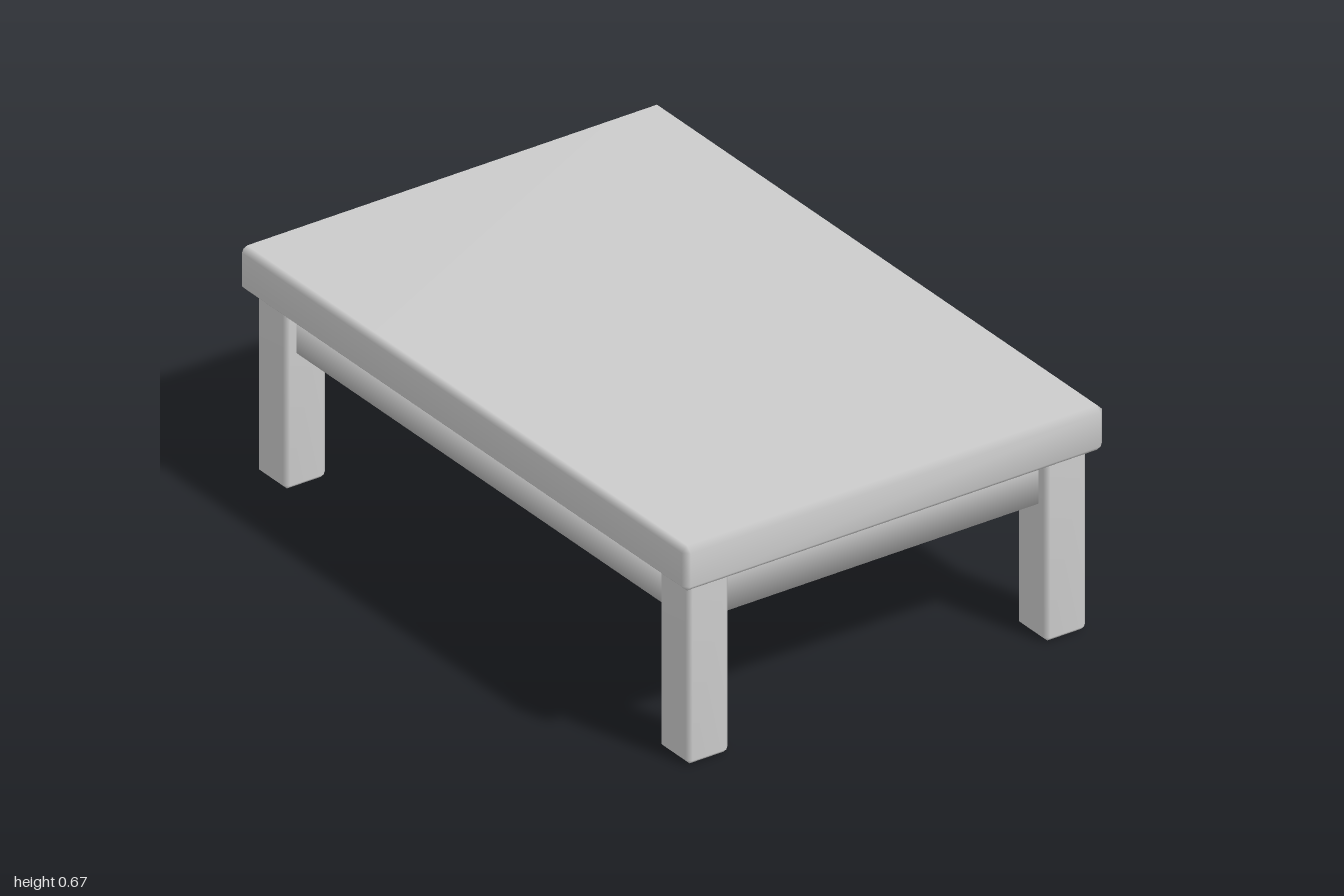
import * as THREE from 'three';
import { ConvexGeometry } from 'three/addons/geometries/ConvexGeometry.js';
import { mergeVertices } from 'three/addons/utils/BufferGeometryUtils.js';

// Weld shared corners so the shading runs smoothly over the edges
function smooth(geometry) {
  geometry.deleteAttribute('normal');
  geometry.deleteAttribute('uv');
  const welded = mergeVertices(geometry);
  welded.computeVertexNormals();
  return welded;
}

// Box with a flat bevel on every edge: each corner becomes three points
function bevelledBox(w, h, d, bevel) {
  const half = [w / 2, h / 2, d / 2];
  const points = [];
  for (const sx of [-1, 1]) for (const sy of [-1, 1]) for (const sz of [-1, 1]) {
    const s = [sx, sy, sz];
    for (let axis = 0; axis < 3; axis++) {
      const p = half.map((e, i) => s[i] * (i === axis ? e : e - bevel));
      points.push(new THREE.Vector3(...p));
    }
  }
  return smooth(new ConvexGeometry(points));
}

export function createModel() {
  const model = new THREE.Group();
  model.name = 'lowTable';
  const material = new THREE.MeshStandardMaterial({ color: 0xcccccc });

  const add = (name, geometry, x, y, z) => {
    const mesh = new THREE.Mesh(geometry, material);
    mesh.name = name;
    mesh.position.set(x, y, z);
    model.add(mesh);
  };

  // Tabletop
  add('tabletop', bevelledBox(2, 0.133, 1.333, 0.017), 0, 0.6, 0);

  // Solid apron block, set slightly in from the outer faces of the legs
  add('apron', smooth(new THREE.BoxGeometry(1.867, 0.134, 1.2)), 0, 0.467, 0);

  // Four square legs
  const leg = bevelledBox(0.133, 0.534, 0.133, 0.013);
  for (const x of [-1, 1]) for (const z of [-1, 1]) {
    add(`${z > 0 ? 'front' : 'back'}${x > 0 ? 'Left' : 'Right'}Leg`, leg, x * 0.9, 0.267, z * 0.567);
  }

  return model;
}
